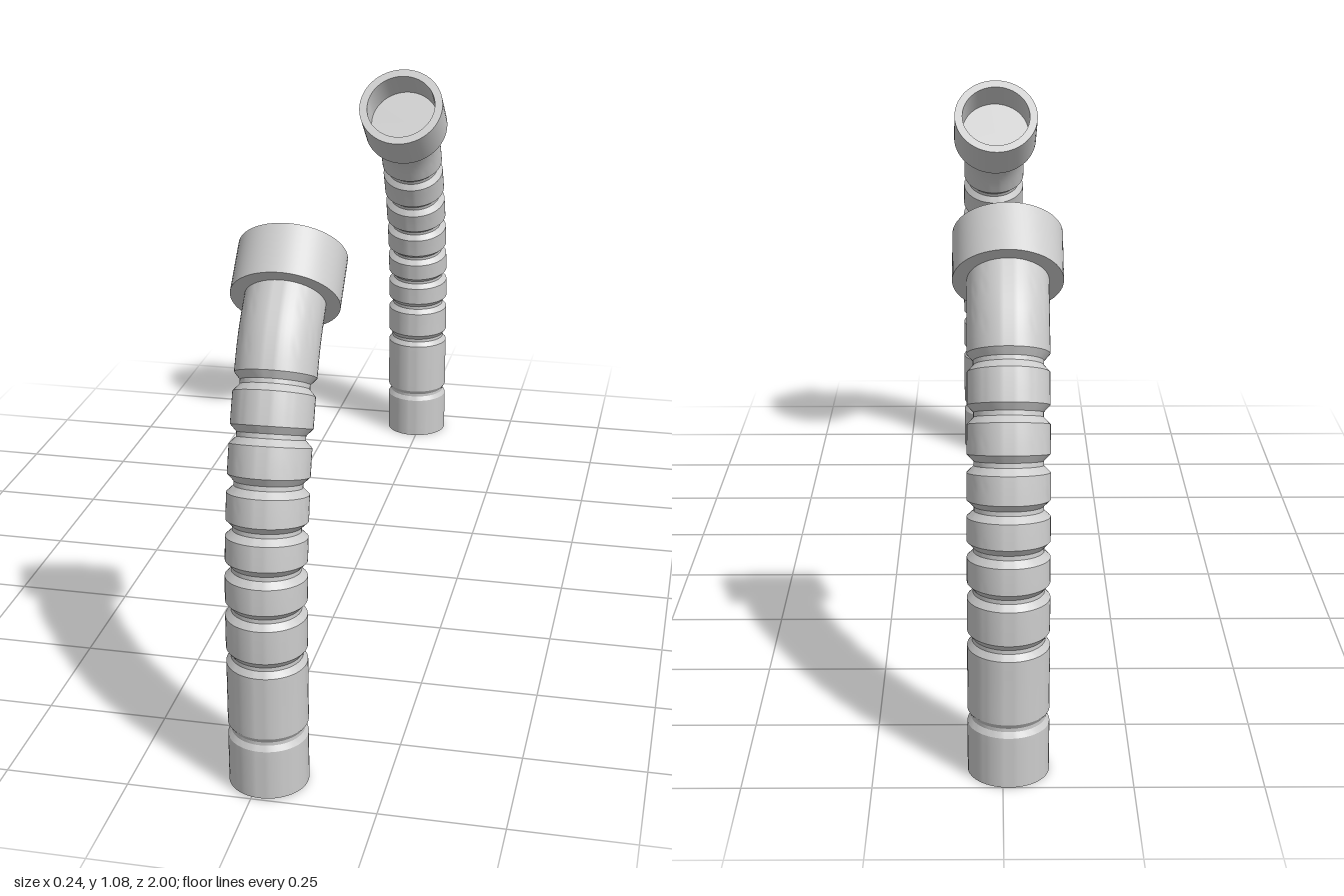
import * as THREE from 'three';
import { toCreasedNormals } from 'three/addons/utils/BufferGeometryUtils.js';

const SIDES = 56;
const R = 0.079;
const material = new THREE.MeshStandardMaterial({ color: 0xcccccc });

// Centre line of the hose: straight at the foot, then leaning over towards -z
const path = new THREE.CatmullRomCurve3([
  [0, 0], [0, 0.18], [0, 0.36], [-0.005, 0.45], [-0.019, 0.54], [-0.041, 0.63],
  [-0.071, 0.71], [-0.106, 0.785], [-0.152, 0.862], [-0.212, 0.922], [-0.224, 0.9325],
].map(([z, y]) => new THREE.Vector3(0, y, z)), false, 'centripetal');
path.arcLengthDivisions = 800;

// Grooves: [height on the centre line, half width, depth]
const grooves = [
  [0.118, 0.014, 0.007], [0.28, 0.016, 0.009], [0.378, 0.016, 0.011], [0.458, 0.016, 0.012],
  [0.535, 0.016, 0.013], [0.617, 0.017, 0.013], [0.702, 0.018, 0.013], [0.79, 0.018, 0.012],
];

// Arc length at which the centre line reaches a height
function lengthAtHeight(y) {
  let lo = 0, hi = 1;
  for (let i = 0; i < 30; i++) {
    const mid = (lo + hi) / 2;
    if (path.getPointAt(mid).y < y) lo = mid; else hi = mid;
  }
  return lo * path.getLength();
}

// Straight grooved lathe, then every ring is moved onto the centre line
function hoseGeometry() {
  const total = path.getLength();
  const profile = [new THREE.Vector2(0, 0), new THREE.Vector2(R, 0)];
  const addTo = (r, s) => {
    const last = profile[profile.length - 1];
    const steps = Math.max(1, Math.round((s - last.y) / 0.02));
    for (let i = 1; i <= steps; i++) {
      const t = i / steps;
      profile.push(new THREE.Vector2(last.x + (r - last.x) * t, last.y + (s - last.y) * t));
    }
  };
  for (const [y, half, depth] of grooves) {
    const s = lengthAtHeight(y);
    addTo(R, s - half);
    addTo(R - depth, s - half * 0.25);
    addTo(R - depth, s + half * 0.25);
    addTo(R, s + half);
  }
  addTo(R, total);

  const geometry = new THREE.LatheGeometry(profile, SIDES);
  const pos = geometry.attributes.position;
  const side = new THREE.Vector3(1, 0, 0);
  for (let i = 0; i < pos.count; i++) {
    const u = THREE.MathUtils.clamp(pos.getY(i) / total, 0, 1);
    const normal = new THREE.Vector3().crossVectors(side, path.getTangentAt(u));
    const p = path.getPointAt(u)
      .addScaledVector(side, pos.getX(i))
      .addScaledVector(normal, pos.getZ(i));
    pos.setXYZ(i, p.x, p.y, p.z);
  }
  return toCreasedNormals(geometry, 0.35);
}

// Open socket with a floor, a rim and a thick wall
function socketGeometry() {
  const profile = [[0, 0], [0.107, 0], [0.107, 0.108], [0.087, 0.108], [0.087, 0.025], [0, 0.025]]
    .map(([r, y]) => new THREE.Vector2(r, y));
  return toCreasedNormals(new THREE.LatheGeometry(profile, SIDES), 0.5);
}

export function createModel() {
  const model = new THREE.Group();
  model.name = 'pairOfCurvedHoses';
  const hoseGeo = hoseGeometry();
  const socketGeo = socketGeometry();

  const addHose = (name, x, y, z, turn) => {
    const group = new THREE.Group();
    group.name = name;
    const hose = new THREE.Mesh(hoseGeo, material);
    hose.name = 'ribbedHose';
    const socket = new THREE.Mesh(socketGeo, material);
    socket.name = 'endSocket';
    socket.position.set(0, 0.922, -0.212);
    socket.quaternion.setFromUnitVectors(
      new THREE.Vector3(0, 1, 0), new THREE.Vector3(0, 0.07, -0.079).normalize());
    group.add(hose, socket);
    group.position.set(x, y, z);
    group.rotation.y = turn;
    model.add(group);
  };

  addHose('frontHose', 0.018, 0.004, 0.921, 0.034);
  addHose('backHose', -0.011, 0, -0.921, Math.PI);
  return model;
}
